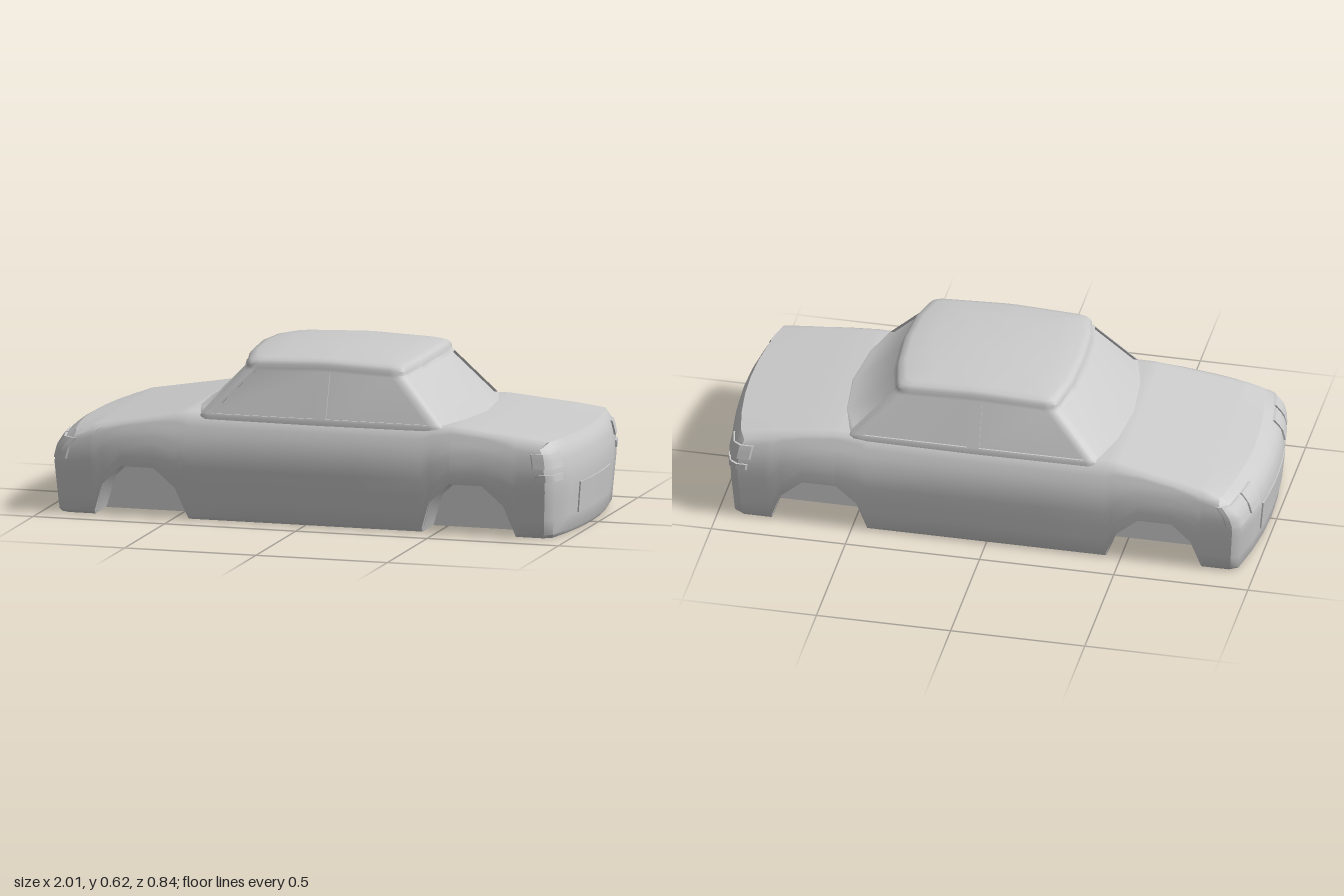
import * as THREE from 'three';
import { toCreasedNormals } from 'three/addons/utils/BufferGeometryUtils.js';

const material = new THREE.MeshStandardMaterial({ color: 0xcccccc });

// Piecewise-linear lookup through [key, value] pairs
function lookup(table, k) {
  if (k <= table[0][0]) return table[0][1];
  for (let i = 1; i < table.length; i++) {
    const [a, va] = table[i - 1], [b, vb] = table[i];
    if (k <= b) return va + (vb - va) * (k - a) / (b - a);
  }
  return table[table.length - 1][1];
}

// Skin a grid of [x, y, z] rows, skipping collapsed triangles
function skin(name, rows, flip = false, crease = 0.8) {
  const pos = [];
  const same = (p, q) => Math.hypot(p[0] - q[0], p[1] - q[1], p[2] - q[2]) < 1e-6;
  const tri = (a, b, c) => {
    if (same(a, b) || same(b, c) || same(a, c)) return;
    pos.push(...a, ...(flip ? c : b), ...(flip ? b : c));
  };
  for (let i = 0; i < rows.length - 1; i++) {
    for (let j = 0; j < rows[i].length - 1; j++) {
      const a = rows[i][j], b = rows[i][j + 1], c = rows[i + 1][j + 1], d = rows[i + 1][j];
      tri(a, b, c);
      tri(a, c, d);
    }
  }
  const geo = new THREE.BufferGeometry();
  geo.setAttribute('position', new THREE.Float32BufferAttribute(pos, 3));
  const mesh = new THREE.Mesh(toCreasedNormals(geo, crease), material);
  mesh.name = name;
  return mesh;
}

// Half width by height, upper line by length, wheel-arch height by length
const WIDTH = [[0, 0.375], [0.013, 0.388], [0.1, 0.4], [0.2, 0.412], [0.25, 0.415], [0.31, 0.405], [0.35, 0.388], [0.39, 0.37]];
const DECK = [[-0.92, 0.308], [-0.81, 0.332], [-0.47, 0.392], [0.56, 0.392], [0.96, 0.353]];
const ARCH = [[-0.8, 0], [-0.765, 0.115], [-0.695, 0.187], [-0.57, 0.187], [-0.49, 0.115], [-0.445, 0],
  [0.445, 0], [0.48, 0.115], [0.555, 0.187], [0.68, 0.187], [0.76, 0.115], [0.8, 0]];
const NOSE = [[0, 0.972], [0.013, 0.982], [0.19, 1], [0.25, 0.985], [0.285, 0.957], [0.308, 0.92]];
const TAIL = [[0, 0.972], [0.013, 0.982], [0.2, 1], [0.26, 0.996], [0.31, 0.985], [0.353, 0.96]];
const LEVELS = [0, 0.04, 0.2, 0.35, 0.5, 0.62, 0.72, 0.81, 0.88, 0.94, 1];
const ACROSS = [1, 0.95, 0.64, 0.32, 0];

// Curved end surface: end is -1 for the nose, 1 for the tail
function endX(end, y, z) {
  const g = Math.abs(z) / lookup(WIDTH, y);
  const bevel = 0.025 * Math.min(1, Math.max(0, (g - 0.95) / 0.05));
  return end * (lookup(end < 0 ? NOSE : TAIL, y) - 0.05 * (z / 0.4) ** 2 - bevel);
}

const sideZ = (f, y) => lookup(WIDTH, y) - (f === 1 ? 0.018 : 0);
const endTop = (end) => (end < 0 ? 0.308 : 0.353);

// Closed body section; an end value makes it follow the nose or tail
function section(x, end = 0) {
  const top = end ? endTop(end) : lookup(DECK, x);
  const sill = end ? 0 : lookup(ARCH, x);
  const w0 = lookup(WIDTH, 0);
  const half = [[0, 0], [0, 0.32 * w0], [0, 0.64 * w0], [sill, 0.64 * w0], [sill, 0.95 * lookup(WIDTH, sill)]];
  for (const f of LEVELS) {
    const y = sill + f * (top - sill);
    half.push([y, sideZ(f, y)]);
  }
  for (const g of ACROSS.slice(1)) half.push([top, g * sideZ(1, top)]);
  const loop = [...half, ...half.slice(0, -1).reverse().map(([y, z]) => [y, -z])];
  return loop.map(([y, z]) => [end ? endX(end, y, z) : x, y, z]);
}

function endCap(name, end) {
  const cols = [...ACROSS, ...ACROSS.slice(0, -1).reverse().map((g) => -g)];
  const rows = LEVELS.map((f) => {
    const y = f * endTop(end);
    return cols.map((g) => [endX(end, y, g * sideZ(f, y)), y, g * sideZ(f, y)]);
  });
  return skin(name, rows, end < 0);
}

// Thin raised panel on an end; a is the width fraction, past 1 it wraps along the side
function panel(name, end, side, a0, a1, y0, y1, lift = 0.006) {
  const steps = (p, q, n) => {
    const list = [[p, 0]];
    for (let i = 0; i <= n; i++) list.push([p + (q - p) * i / n, 1]);
    return [...list, [q, 0]];
  };
  const cols = steps(a0, a1, 10);
  if (a0 < 1 && a1 > 1) {
    cols.push([0.95, 1], [1, 1]);
    const last = cols.splice(cols.length - 3, 1)[0];
    const inner = cols.slice(1).sort((p, q) => p[0] - q[0]);
    cols.splice(1, cols.length - 1, ...inner, last);
  }
  const rows = steps(y0, y1, 4).map(([y, ly]) => cols.map(([a, la]) => {
    const h = ly * la ? lift : -0.004;
    const z = Math.min(a, 1) * lookup(WIDTH, y);
    const x = endX(end, y, z) - end * Math.max(0, a - 1);
    return [x + end * h, y, side * (z + (a > 0.95 ? h : 0))];
  }));
  return skin(name, rows, end * side > 0, 0.5);
}

// Cabin half ring: bottom x, z, top x, z, then the glass inset along x and z
const F = 0.014, S = -0.006;
const CABIN = [
  [-0.475, 0, -0.285, 0, F, 0], [-0.457, 0.2, -0.276, 0.17, F, 0], [-0.415, 0.348, -0.25, 0.287, F, 0],
  [-0.415, 0.348, -0.25, 0.287, 0, 0], [-0.402, 0.366, -0.238, 0.304, 0, 0], [-0.385, 0.374, -0.217, 0.312, 0, 0],
  [-0.37, 0.375, -0.2, 0.313, 0, 0], [-0.37, 0.375, -0.2, 0.313, 0, S],
  [0.03, 0.377, 0.03, 0.315, 0, S], [0.03, 0.377, 0.03, 0.315, 0, 0],
  [0.075, 0.377, 0.075, 0.315, 0, 0], [0.075, 0.377, 0.075, 0.315, 0, S],
  [0.47, 0.375, 0.3, 0.313, 0, S], [0.47, 0.375, 0.3, 0.313, 0, 0],
  [0.495, 0.374, 0.325, 0.312, 0, 0], [0.514, 0.364, 0.346, 0.302, 0, 0], [0.522, 0.348, 0.355, 0.287, 0, 0],
  [0.522, 0.348, 0.355, 0.287, -F, 0], [0.566, 0.2, 0.38, 0.17, -F, 0], [0.585, 0, 0.39, 0, -F, 0],
];
const roofY = (x, z) => 0.625 - 0.25 * z * z - 0.15 * (x - 0.05) ** 2;

function cabin() {
  const ring = [...CABIN, ...CABIN.slice(0, -1).reverse().map(([a, b, c, d, e, f]) => [a, -b, c, -d, e, -f])];
  const wall = (t, inset, drop = 0) => ring.map(([x0, z0, x1, z1, dx, dz]) => [
    x0 + (x1 - x0) * t + dx * inset,
    0.385 + (roofY(x1, z1) - 0.03 - 0.385) * t - drop,
    z0 + (z1 - z0) * t + dz * inset]);
  const roof = (s, drop) => ring.map(([, , x1, z1]) => {
    const x = 0.05 + (x1 - 0.05) * s, z = z1 * s;
    return [x, roofY(x, z) - drop, z];
  });
  return skin('cabin', [
    wall(0, 0, 0.02), wall(0, 0), wall(0.05, 0), wall(0.05, 1), wall(0.94, 1), wall(0.94, 0), wall(1, 0),
    roof(1, 0.016), roof(0.97, 0.004), roof(0.9, 0), roof(0.65, 0), roof(0.35, 0), roof(0, 0),
  ], false, 0.8);
}

export function createModel() {
  const car = new THREE.Group();
  car.name = 'carBody';

  // Lower shell with wheel arches
  const stations = [-0.81, ...ARCH.map(([x]) => x), -0.47, -0.2, 0, 0.2, 0.56, 0.82].sort((a, b) => a - b);
  car.add(skin('lowerBody', [section(0, -1), ...stations.map((x) => section(x)), section(0, 1)], true));
  car.add(endCap('nose', -1), endCap('tail', 1), cabin());

  // Lamps on both sides
  for (const side of [1, -1]) {
    const label = side > 0 ? 'left' : 'right';
    car.add(panel(label + 'InnerHeadlamp', -1, side, 0.52, 0.73, 0.205, 0.285));
    car.add(panel(label + 'OuterHeadlamp', -1, side, 0.77, 1.02, 0.205, 0.285));
    car.add(panel(label + 'TailLamp', 1, side, 0.79, 1.045, 0.262, 0.315));
    car.add(panel(label + 'ReverseLamp', 1, side, 0.81, 1.035, 0.215, 0.24));
  }

  // Plates at both ends
  car.add(panel('frontPlate', -1, 1, -0.46, 0.46, 0.068, 0.182, 0.004));
  car.add(panel('rearPlate', 1, 1, -0.46, 0.46, 0.068, 0.182, 0.004));
  return car;
}
